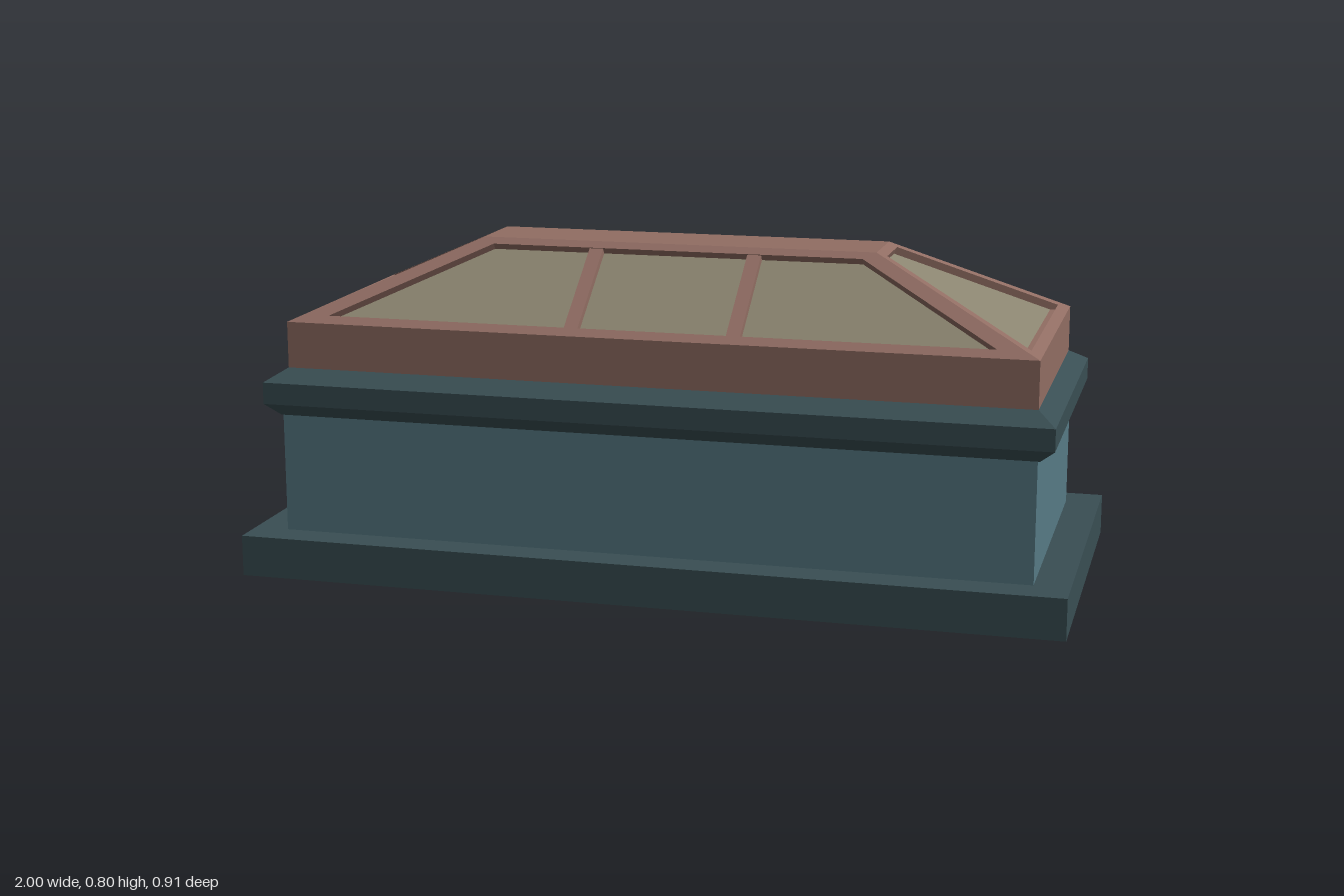
import * as THREE from 'three';

const V = (x, y, z) => new THREE.Vector3(x, y, z);

// Flat-shaded geometry from quads whose corners run counter-clockwise seen from outside
function quads(list) {
  const pos = [];
  for (const [a, b, c, d] of list) for (const p of [a, b, c, a, c, d]) pos.push(p.x, p.y, p.z);
  const g = new THREE.BufferGeometry();
  g.setAttribute('position', new THREE.Float32BufferAttribute(pos, 3));
  g.computeVertexNormals();
  return g;
}

// Rectangular rings [y, halfX, halfZ] joined from bottom to top, closed at the top
function rectLoft(rings) {
  const corners = ([y, x, z]) => [V(-x, y, z), V(x, y, z), V(x, y, -z), V(-x, y, -z)];
  const list = [];
  for (let i = 0; i < rings.length - 1; i++) {
    const lo = corners(rings[i]), hi = corners(rings[i + 1]);
    for (let k = 0; k < 4; k++) {
      const n = (k + 1) % 4;
      list.push([lo[k], lo[n], hi[n], hi[k]]);
    }
  }
  list.push(corners(rings[rings.length - 1]));
  return quads(list);
}

export function createModel() {
  const mat = (name, color) => {
    const m = new THREE.MeshStandardMaterial({ color });
    m.name = name;
    return m;
  };
  const slate = mat('dark slate', 0x394e53);
  const teal = mat('teal wall', 0x577a85);
  const rose = mat('rose frame', 0x916d63);
  const pane = mat('olive glass', 0x8b8570);

  const model = new THREE.Group();
  model.name = 'skylight';
  const add = (parent, name, geo, material) => {
    const m = new THREE.Mesh(geo, material);
    m.name = name;
    parent.add(m);
    return m;
  };

  // Plinth, walls and chamfered cornice
  add(model, 'plinth', new THREE.BoxGeometry(2, 0.1, 0.914).translate(0, 0.05, 0), slate);
  add(model, 'walls', new THREE.BoxGeometry(1.83, 0.3, 0.75).translate(0, 0.245, 0), teal);
  add(model, 'cornice', rectLoft([
    [0.39, 0.92, 0.375], [0.42, 0.955, 0.4], [0.473, 0.955, 0.4], [0.502, 0.91, 0.345],
  ]), slate);

  // Curb under the glazing and flat ridge on top
  const X = 0.91, Z = 0.345, Y = 0.615, topX = 0.49, topZ = 0.087, topY = 0.802;
  add(model, 'curb', new THREE.BoxGeometry(X * 2, Y - 0.5, Z * 2).translate(0, (Y + 0.5) / 2, 0), rose);
  add(model, 'ridge', quads([
    [V(-topX, topY, topZ), V(topX, topY, topZ), V(topX, topY, -topZ), V(-topX, topY, -topZ)],
  ]), rose);

  // One sloping panel facing +z: frame, reveal around the opening, and sunken glass
  const depth = 0.018;
  function slopePanel(name, halfW, out, topHalfW, topOut, opening) {
    const g = new THREE.Group();
    g.name = name;
    const rise = topY - Y, run = out - topOut;
    const normal = V(0, run, rise).normalize();
    const at = (x, z) => V(x, Y + (out - z) / run * rise, z);
    const ring = (w0, z0, w1, z1) => [at(-w0, z0), at(w0, z0), at(w1, z1), at(-w1, z1)];
    const outer = ring(halfW, out, topHalfW, topOut);
    const inner = ring(...opening);
    const sunk = inner.map(p => p.clone().addScaledVector(normal, -depth));
    const frame = [];
    for (let k = 0; k < 4; k++) {
      const n = (k + 1) % 4;
      frame.push([outer[k], outer[n], inner[n], inner[k]], [inner[k], inner[n], sunk[n], sunk[k]]);
    }
    add(g, 'glazingFrame', quads(frame), rose);
    add(g, 'glass', quads([sunk]), pane);
    g.userData = { normal, low: at(0, opening[1]), high: at(0, opening[3]) };
    model.add(g);
    return g;
  }

  for (const [side, turn] of [['front', 0], ['back', Math.PI]]) {
    const g = slopePanel(side + 'Glazing', X, Z, topX, topZ, [0.81, 0.323, 0.46, 0.106]);
    // Two glazing bars divide each long panel
    const { normal, low, high } = g.userData;
    const length = low.distanceTo(high);
    for (const x of [-0.197, 0.197]) {
      const bar = add(g, 'glazingBar', new THREE.BoxGeometry(0.034, length, depth), rose);
      bar.position.copy(low).add(high).multiplyScalar(0.5).addScaledVector(normal, -depth / 2 - 0.002);
      bar.position.x = x;
      bar.rotation.x = -Math.atan2(low.z - high.z, high.y - low.y);
    }
    g.rotation.y = turn;
    g.userData = {};
  }
  for (const [side, turn] of [['left', Math.PI / 2], ['right', -Math.PI / 2]]) {
    const g = slopePanel(side + 'Glazing', Z, X, topZ, topX, [0.293, 0.884, 0.07, 0.513]);
    g.rotation.y = turn;
    g.userData = {};
  }
  return model;
}
